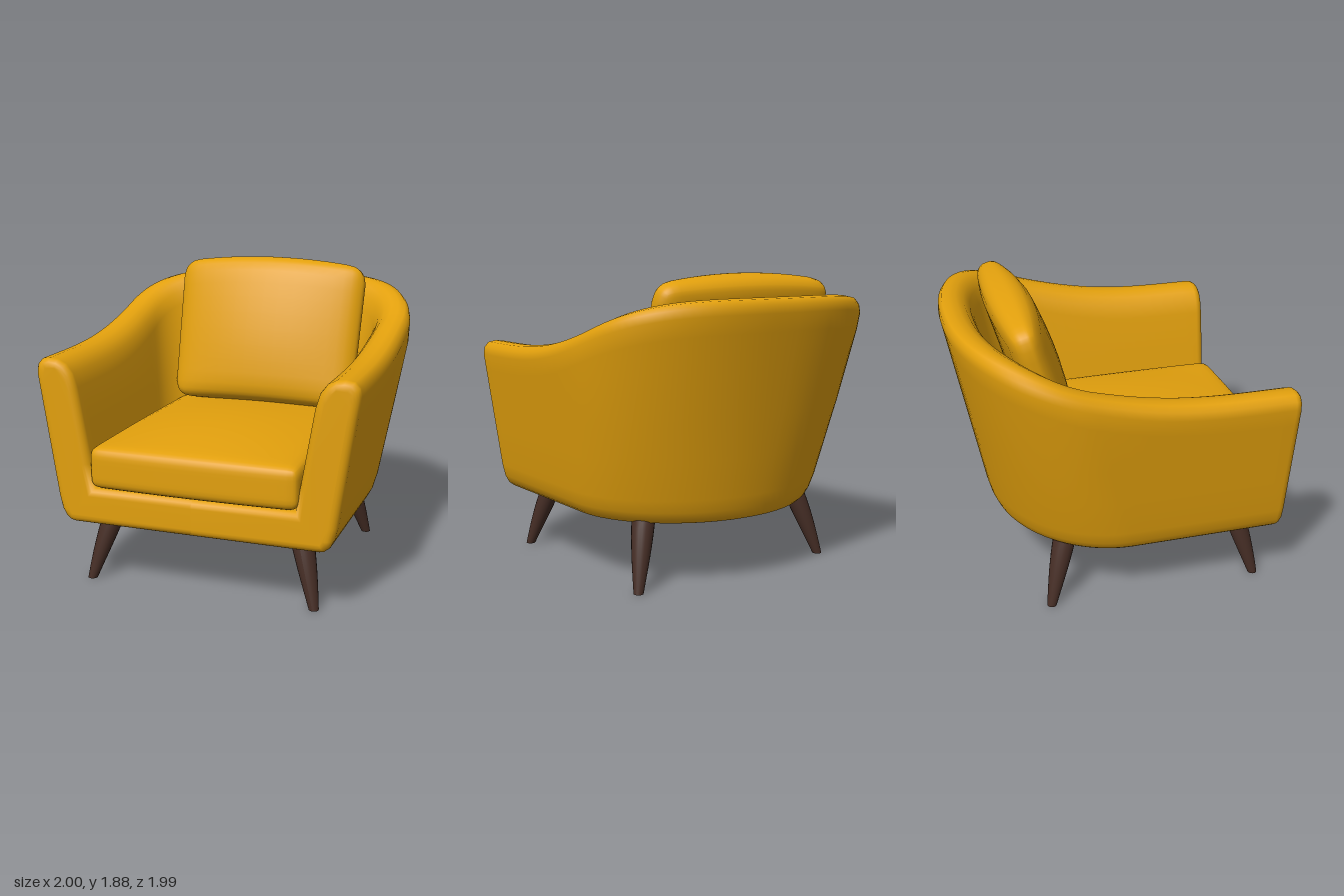
import * as THREE from 'three';
import { mergeVertices } from 'three/addons/utils/BufferGeometryUtils.js';

const fabric = new THREE.MeshStandardMaterial({ color: 0xe2a00d });
fabric.name = 'mustardFabric';
const wood = new THREE.MeshStandardMaterial({ color: 0x452d25 });
wood.name = 'darkWood';

const { lerp, clamp } = THREE.MathUtils;
const FRONT = 0.967, BOTTOM = 0.4, SHELF = 0.63;

// Rim height rises smoothly from the arms to the back
function rimHeight(z) {
  const t = Math.pow(clamp((0.8 - z) / 1.82, 0, 1), 1.6);
  return 1.414 + 0.34 * t * t * (3 - 2 * t);
}

// Where the straight arm starts to bend: early at the base, later at the rim
const bend = y => lerp(0.0, -0.32, clamp((y - BOTTOM) / 1.2, 0, 1));
const armZ = (st, y) => lerp(st.z, bend(y), st.t);

// U-shaped plan at height y: straight arms, then a superelliptic back, squarer towards the rim
function plan(width, back, st, y) {
  const power = 2 / lerp(2, 2.35, clamp((y - BOTTOM) / 1.2, 0, 1));
  const c = Math.pow(Math.max(0, Math.cos(st.angle)), power);
  const s = Math.pow(Math.max(0, Math.sin(st.angle)), power);
  return [width * c, st.angle > 0 ? lerp(bend(y), back, s) : armZ(st, y)];
}

// Cross-section from bottom centre, up the outside, over the rim, down the inside, to shelf centre
function section(st) {
  const e = st.inset;
  const H = rimHeight(plan(1, -1, st, 1.5)[1]) - e;
  const profile = [
    [0.3, BOTTOM + e], [0.2, BOTTOM + 0.006 + e], [0.1, 0.43 + e], [0.03, 0.48], [0, 0.56],
    [0, 0.8], [0, 1.05], [0, H - 0.2], [0, H - 0.09], [0.06, H - 0.04], [0.19, H - 0.008],
    [0.4, H], [0.62, H - 0.006], [0.82, H - 0.032], [0.95, H - 0.085], [1, H - 0.17],
    [1, 1.0], [1, 0.78], [1, SHELF - e],
  ];
  const points = profile.map(([s, y]) => {
    const outer = plan(Math.min(1, 1 - 0.15 * (1.38 - y)) - e, -1.005 + 0.2 * (1.72 - y), st, y);
    const inner = plan(0.64 + 0.17 * (y - 0.7) + e, -0.62 - 0.17 * (y - 0.7), st, y);
    return [lerp(outer[0], inner[0], s), y, lerp(outer[1], inner[1], s)];
  });
  return [[0, BOTTOM + e, armZ(st, BOTTOM)], ...points, [0, SHELF - e, armZ(st, SHELF)]];
}

// Shell: arms, back and base lofted as one upholstered body
function shellGeometry() {
  const stations = [];
  const r = 0.05;
  for (let i = 0; i <= 5; i++) {
    const a = (i / 5) * Math.PI / 2;
    stations.push({ angle: 0, t: 0, z: FRONT - r + r * Math.cos(a), inset: r * (1 - Math.sin(a)) });
  }
  for (let i = 1; i <= 14; i++) stations.push({ angle: 0, t: i / 14, z: FRONT - r, inset: 0 });
  for (let i = 1; i <= 24; i++) stations.push({ angle: (i / 24) * Math.PI / 2, t: 1, z: 0, inset: 0 });

  const half = stations.map(section);
  const mirrored = half.slice(0, -1).reverse().map(ring => ring.map(([x, y, z]) => [-x, y, z]));
  const rings = [...half, ...mirrored];
  const n = rings[0].length, index = [];
  for (let i = 0; i < rings.length - 1; i++) {
    for (let j = 0; j < n - 1; j++) {
      const a = i * n + j, b = a + n;
      index.push(a, b, a + 1, b, b + 1, a + 1);
    }
  }
  // Flat front faces of both halves
  const contour = rings[0].map(([x, y]) => new THREE.Vector2(x, y));
  const last = (rings.length - 1) * n;
  for (const [a, b, c] of THREE.ShapeUtils.triangulateShape(contour, [])) {
    index.push(a, b, c, last + a, last + c, last + b);
  }
  const geo = new THREE.BufferGeometry();
  geo.setAttribute('position', new THREE.Float32BufferAttribute(rings.flat(2), 3));
  geo.setIndex(index);
  geo.computeVertexNormals();
  return geo;
}

// Soft rounded block; the shape rule then bends its points
function cushionGeometry(w, h, d, r, shape) {
  let geo = new THREE.BoxGeometry(2, 2, 2, 20, 14, 20);
  geo.deleteAttribute('uv');
  geo.deleteAttribute('normal');
  geo = mergeVertices(geo);
  const pos = geo.attributes.position;
  const size = new THREE.Vector3(w / 2, h / 2, d / 2);
  const limit = size.clone().subScalar(r);
  const p = new THREE.Vector3(), core = new THREE.Vector3();
  for (let i = 0; i < pos.count; i++) {
    p.fromBufferAttribute(pos, i);
    p.set(...p.toArray().map(v => Math.sin(v * Math.PI / 2))).multiply(size);
    core.copy(p).clamp(limit.clone().negate(), limit);
    p.sub(core).setLength(r).add(core);
    shape(p);
    pos.setXYZ(i, p.x, p.y, p.z);
  }
  geo.computeVertexNormals();
  return geo;
}

function add(group, name, geo, material) {
  const mesh = new THREE.Mesh(geo, material);
  mesh.name = name;
  group.add(mesh);
  return mesh;
}

export function createModel() {
  const chair = new THREE.Group();
  chair.name = 'armchair';
  add(chair, 'shell', shellGeometry(), fabric);

  // Seat cushion, domed on top and slightly bowed at the front
  const seat = add(chair, 'seatCushion', cushionGeometry(1.29, 0.26, 1.5, 0.06, p => {
    const across = 1 - (p.x / 0.65) ** 2, along = 1 - (p.z / 0.76) ** 2;
    if (p.y > 0) p.y += 0.07 * across * along * (p.y / 0.13);
    if (p.z > 0) p.z += 0.02 * across * (p.z / 0.75);
    p.x *= 1 + 0.02 * p.z;
  }), fabric);
  seat.position.set(0, 0.765, 0.23);

  // Back cushion, leaning back with an arched top and both faces bulging
  const back = add(chair, 'backCushion', cushionGeometry(1.28, 0.95, 0.255, 0.105, p => {
    const across = 1 - (p.x / 0.64) ** 2, up = 1 - (p.y / 0.5) ** 2;
    if (p.y > 0) p.y += 0.05 * across * (p.y / 0.475);
    if (p.z > 0) p.z += (0.06 * across * up - 0.06 * (1 - across)) * (p.z / 0.1275);
    else p.z -= 0.04 * (1 - across) * (p.z / 0.1275);
    p.x *= 1 + 0.035 * p.y;
  }), fabric);
  back.position.set(0, 1.368, -0.475);
  back.rotation.x = -0.29;

  // Four tapered legs, splayed outwards and slightly swollen midway
  for (const [sideName, sx] of [['left', 1], ['right', -1]]) {
    for (const [endName, sz] of [['Front', 1], ['Back', -1]]) {
      const geo = new THREE.CylinderGeometry(0.072, 0.03, 0.43, 20, 8);
      geo.translate(0, 0.215, 0);
      const pos = geo.attributes.position;
      for (let i = 0; i < pos.count; i++) {
        const t = 1 - pos.getY(i) / 0.43;
        const splay = 0.13 * t - 0.01 * t * t;
        const swell = 1 + 0.5 * t * (1 - t);
        pos.setX(i, pos.getX(i) * swell + sx * (0.6 + splay));
        pos.setZ(i, pos.getZ(i) * swell + 0.165 + sz * (0.555 + splay));
      }
      geo.computeVertexNormals();
      add(chair, sideName + endName + 'Leg', geo, wood);
    }
  }
  return chair;
}
